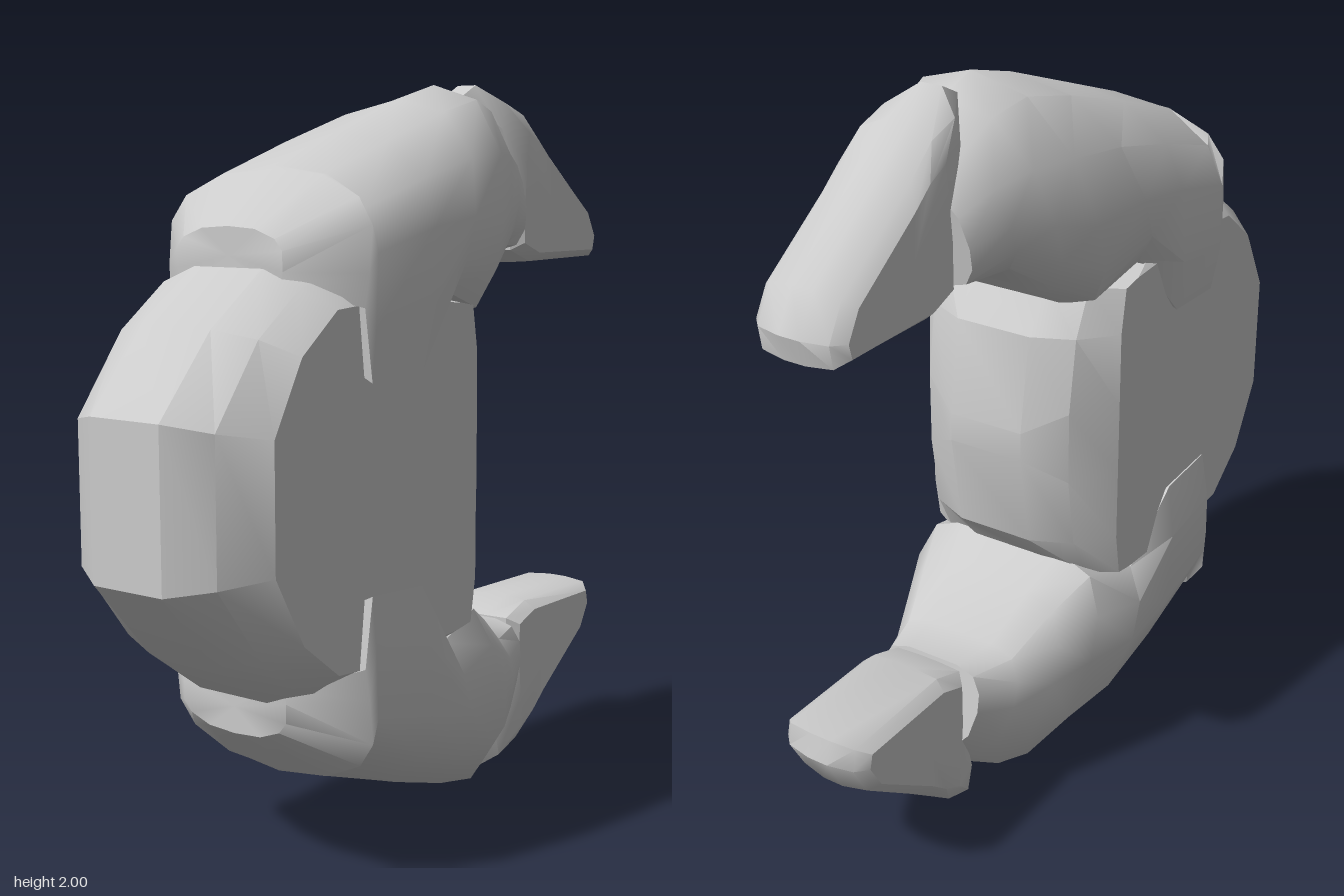
import * as THREE from 'three';
import { toCreasedNormals } from 'three/addons/utils/BufferGeometryUtils.js';

const material = new THREE.MeshStandardMaterial({ color: 0xcccccc, side: THREE.DoubleSide });

// Closed skin through rings of equal point count, capped by fans, wound outward
function loft(rings, crease) {
  const n = rings[0].length, pts = rings.flat(), tris = [];
  for (let r = 0; r < rings.length - 1; r++) {
    for (let i = 0; i < n; i++) {
      const a = r * n + i, b = r * n + (i + 1) % n;
      tris.push([a, b, b + n], [a, b + n, a + n]);
    }
  }
  [0, rings.length - 1].forEach((r, end) => {
    const c = new THREE.Vector3();
    rings[r].forEach(p => c.addScaledVector(p, 1 / n));
    const k = pts.push(c) - 1;
    for (let i = 0; i < n; i++) {
      const a = r * n + i, b = r * n + (i + 1) % n;
      tris.push(end ? [k, a, b] : [k, b, a]);
    }
  });
  // Signed volume tells whether the winding must be reversed
  const volume = tris.reduce((s, [a, b, c]) =>
    s + pts[a].dot(new THREE.Vector3().crossVectors(pts[b], pts[c])), 0);
  if (volume < 0) tris.forEach(t => t.reverse());
  const geo = new THREE.BufferGeometry().setFromPoints(pts);
  geo.setIndex(tris.flat());
  return toCreasedNormals(geo, crease);
}

function add(group, name, geo) {
  const mesh = new THREE.Mesh(geo, material);
  mesh.name = name;
  group.add(mesh);
}

// Outlines in x/y stacked symmetrically along z; layers run from the flat face inward
function stack(layers) {
  const ring = (z, outline) => outline.map(([x, y]) => new THREE.Vector3(x, y, z));
  return [
    ...layers.map(([z, o]) => ring(z, o)),
    ...layers.slice().reverse().map(([z, o]) => ring(-z, o)),
  ];
}

// Half an outline above y = 1 completed by its reflection
const whole = half => [...half, ...half.slice().reverse().map(([x, y]) => [x, 2 - y])];

// Half cross-sections of the arm: [fraction of half width, fraction of height]
const ROUND = [[0.5, 0], [0.85, 0.06], [1, 0.22], [1, 0.42], [0.86, 0.7], [0.5, 0.93], [0, 1]];
const FLAP = [[0.5, 0.15], [0.98, 0], [1, 0.25], [1, 0.6], [0.86, 0.8], [0.5, 0.96], [0, 1]];

function armRing([xb, yb, xt, yt, w, section]) {
  const point = ([u, v], side) => new THREE.Vector3(
    xb + (xt - xb) * v, yb + (yt - yb) * v,
    // the flap on the rear side hugs the body
    side * w * u * (section === FLAP && side < 0 && v === 0 ? 0.94 : 1));
  return [
    ...section.map(p => point(p, 1)),
    ...section.slice(0, -1).reverse().map(p => point(p, -1)),
  ];
}

const mirror = rings => rings.map(r => r.map(p => new THREE.Vector3(p.x, 2 - p.y, p.z)));

export function createModel() {
  const model = new THREE.Group();
  model.name = 'clawGripper';

  // Palm: flat sides with faceted rim
  add(model, 'palm', loft(stack([
    [0.3, whole([[-0.78, 1.16], [-0.68, 1.34], [-0.55, 1.44], [-0.4, 1.45],
      [-0.05, 1.43], [0.01, 1.42], [0.03, 1.3], [0.03, 1.1]])],
    [0.22, whole([[-0.89, 1.18], [-0.74, 1.38], [-0.59, 1.49], [-0.4, 1.53],
      [-0.05, 1.44], [0.06, 1.42], [0.12, 1.3], [0.15, 1.1]])],
    [0.11, whole([[-0.955, 1.2], [-0.78, 1.4], [-0.6, 1.53], [-0.4, 1.58],
      [-0.05, 1.44], [0.08, 1.41], [0.17, 1.3], [0.21, 1.04]])],
  ]), 0.5));

  // Arm: slanted rings [bottom x, y, top x, y, half width, section]
  const arm = [
    [-0.595, 1.49, -0.595, 1.63, 0.17, FLAP],
    [-0.47, 1.44, -0.435, 1.765, 0.325, FLAP],
    [-0.45, 1.26, -0.425, 1.775, 0.332, FLAP],
    [-0.25, 1.27, -0.18, 1.86, 0.335, FLAP],
    [-0.1, 1.43, 0.08, 1.95, 0.33, ROUND],
    [0.08, 1.37, 0.25, 1.995, 0.3, ROUND],
    [0.2, 1.44, 0.36, 1.96, 0.25, ROUND],
    [0.34, 1.54, 0.44, 1.88, 0.2, ROUND],
    [0.47, 1.54, 0.515, 1.81, 0.155, ROUND],
  ].map(armRing);

  // Fingertip: wedge with rounded rim, its knuckle tapering to a point
  const tip = stack([
    [0.13, [[0.53, 1.78], [0.54, 1.87], [0.6, 1.84], [0.66, 1.79], [0.87, 1.64],
      [0.91, 1.57], [0.9, 1.53], [0.6, 1.53], [0.52, 1.56], [0.52, 1.68]]],
    [0.1, [[0.44, 1.88], [0.46, 1.95], [0.55, 1.92], [0.63, 1.85], [0.89, 1.66],
      [0.94, 1.57], [0.93, 1.51], [0.59, 1.505], [0.49, 1.54], [0.49, 1.67]]],
    [0.03, [[0.35, 1.97], [0.41, 2], [0.54, 1.95], [0.63, 1.88], [0.9, 1.67],
      [0.955, 1.57], [0.94, 1.505], [0.59, 1.5], [0.485, 1.54], [0.485, 1.67]]],
  ]);

  for (const [side, place] of [['upper', r => r], ['lower', mirror]]) {
    add(model, side + 'Arm', loft(place(arm), 0.75));
    add(model, side + 'Fingertip', loft(place(tip), 0.7));
  }
  return model;
}
